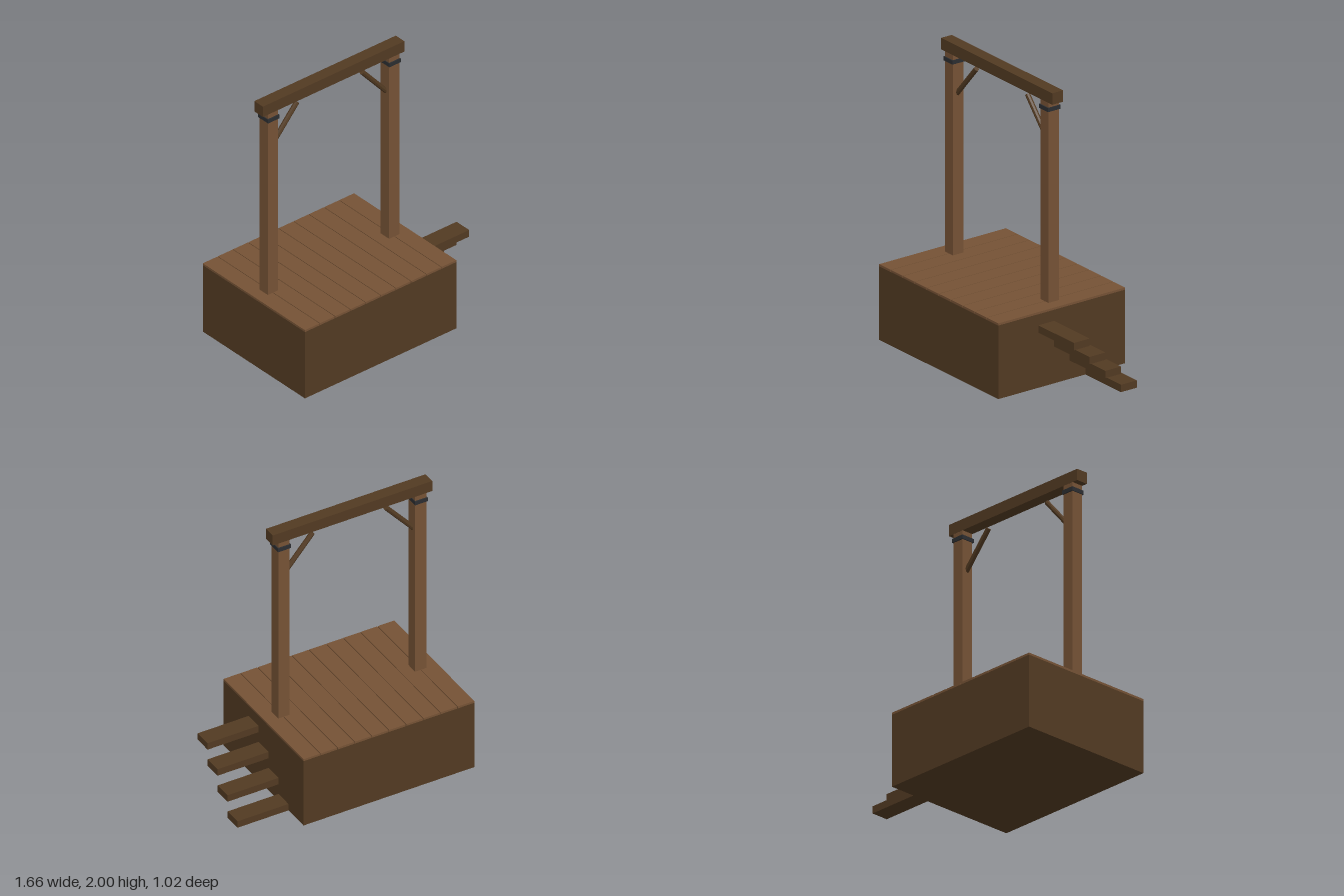
import * as THREE from 'three';

export function createModel() {
  const model = new THREE.Group();
  const plankWood = new THREE.MeshStandardMaterial({ name: 'plankWood', color: 0x755235 });
  const darkWood = new THREE.MeshStandardMaterial({ name: 'darkWood', color: 0x523a22 });
  const iron = new THREE.MeshStandardMaterial({ name: 'iron', color: 0x2b2d30 });

  // Box given by its lower and upper limits on each axis
  function box(name, material, [x0, x1], [y0, y1], [z0, z1]) {
    const mesh = new THREE.Mesh(new THREE.BoxGeometry(x1 - x0, y1 - y0, z1 - z0), material);
    mesh.position.set((x0 + x1) / 2, (y0 + y1) / 2, (z0 + z1) / 2);
    mesh.name = name;
    model.add(mesh);
  }

  // Platform body with a floor of ten planks
  const left = -0.83, right = 0.445, depth = 0.512, count = 10, gap = 0.005;
  box('platformBase', darkWood, [left, right], [0, 0.512], [-depth, depth]);
  const pitch = (right - left + gap) / count;
  for (let i = 0; i < count; i++) {
    const x = left + i * pitch;
    box('floorPlank', plankWood, [x, x + pitch - gap], [0.512, 0.527], [-depth, depth]);
  }

  // Floating steps, rising towards the front
  for (let i = 0; i < 4; i++) {
    const y = i * 0.128, z = -0.319 + i * 0.127;
    box('step', darkWood, [right, 0.826], [y, y + 0.051], [z, z + 0.127]);
  }

  // Posts with iron bands and diagonal braces
  const middle = -0.194, span = 0.511;
  for (const side of [-1, 1]) {
    const x = middle + side * span;
    box('post', plankWood, [x - 0.0425, x + 0.0425], [0.52, 1.921], [-0.0425, 0.0425]);
    box('ironBand', iron, [x - 0.048, x + 0.048], [1.858, 1.886], [-0.051, 0.051]);

    const top = new THREE.Vector3(x - side * 0.238, 1.88, 0);
    const bottom = new THREE.Vector3(x - side * 0.026, 1.638, 0);
    const direction = top.clone().sub(bottom);
    const geometry = new THREE.CylinderGeometry(0.0175, 0.0175, direction.length(), 8).toNonIndexed();
    geometry.computeVertexNormals();
    const brace = new THREE.Mesh(geometry, darkWood);
    brace.name = 'brace';
    brace.position.copy(top).add(bottom).multiplyScalar(0.5);
    brace.quaternion.setFromUnitVectors(new THREE.Vector3(0, 1, 0), direction.normalize());
    model.add(brace);
  }

  // Crossbeam
  box('crossbeam', darkWood, [-0.79, 0.402], [1.92, 2], [-0.043, 0.043]);

  return model;
}
